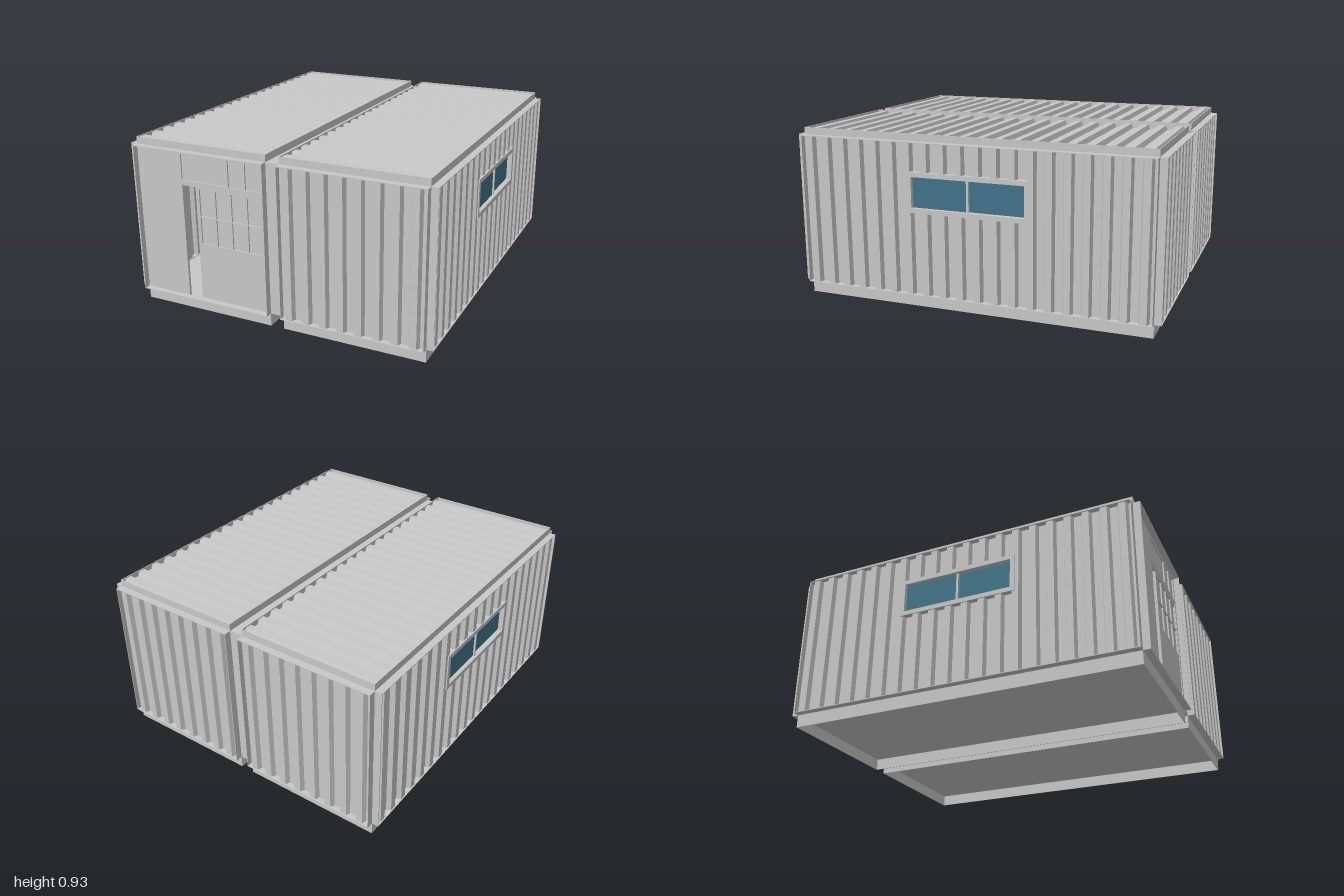
import * as THREE from 'three';

const D = 0.038;                 // depth of panel rims
const W = 0.779, L = 1.924;      // footprint of one unit
const CX = 0.4275;               // unit centre offset
const Y0 = 0.07, Y1 = 0.89;      // wall bottom and top
const T = 0.004;                 // sheet and rim thickness
const VALLEY = 0.008, RIDGE = 0.032, PITCH = 0.0962;

const steel = new THREE.MeshStandardMaterial({ color: 0xc8c8c8, side: THREE.DoubleSide });
steel.name = 'grey steel';
const glass = new THREE.MeshStandardMaterial({ color: 0x42738a });
glass.name = 'blue glass';

function box(name, x0, x1, y0, y1, z0, z1, mat = steel) {
  const m = new THREE.Mesh(new THREE.BoxGeometry(x1 - x0, y1 - y0, z1 - z0), mat);
  m.position.set((x0 + x1) / 2, (y0 + y1) / 2, (z0 + z1) / 2);
  m.name = name;
  return m;
}

// Trapezoid wave, measured from the start of the panel
function wave(s) {
  const p = ((s % PITCH) + PITCH) % PITCH;
  const rise = Math.min((p - 0.02) / 0.01, (PITCH - 0.02 - p) / 0.01);
  return VALLEY + (RIDGE - VALLEY) * Math.min(1, Math.max(0, rise));
}

// Corrugated sheet over u0..u1 and v0..v1, facing +z
function sheet(length, u0, u1, v0, v1) {
  const us = [u0];
  const start = -length / 2;
  for (let s = start; s < length / 2; s += PITCH) {
    for (const k of [0.02, 0.03, PITCH - 0.03, PITCH - 0.02]) {
      if (s + k > u0 + 1e-4 && s + k < u1 - 1e-4) us.push(s + k);
    }
  }
  us.push(u1);
  const outer = us.map(u => new THREE.Vector2(u, -wave(u - start)));
  const inner = us.map(u => new THREE.Vector2(u, T - wave(u - start))).reverse();
  const geo = new THREE.ExtrudeGeometry(new THREE.Shape([...outer, ...inner]),
    { depth: v1 - v0, bevelEnabled: false });
  geo.rotateX(-Math.PI / 2);
  geo.translate(0, v0, 0);
  const m = new THREE.Mesh(geo, steel);
  m.name = 'corrugatedSheet';
  return m;
}

// Thin rim around a rectangle, standing out from depth 0 to d
function rim(u0, u1, v0, v1, d) {
  const g = new THREE.Group();
  g.name = 'rim';
  g.add(box('rimBottom', u0, u1, v0, v0 + T, 0, d), box('rimTop', u0, u1, v1 - T, v1, 0, d),
    box('rimStart', u0, u0 + T, v0, v1, 0, d), box('rimEnd', u1 - T, u1, v0, v1, 0, d));
  return g;
}

// Rimmed sheet, optionally with a window cut into it
function panel(name, length, v0, v1, hasWindow = false) {
  const g = new THREE.Group();
  g.name = name;
  const h = length / 2;
  if (hasWindow) {
    const a = 0.335, b0 = 0.52, b1 = 0.735;
    g.add(sheet(length, -h, -a, v0, v1), sheet(length, a, h, v0, v1),
      sheet(length, -a, a, v0, b0), sheet(length, -a, a, b1, v1), windowUnit(a, b0, b1));
  } else {
    g.add(sheet(length, -h, h, v0, v1));
  }
  g.add(rim(-h, h, v0, v1, D));
  return g;
}

// Sliding window with two panes
function windowUnit(a, b0, b1) {
  const g = new THREE.Group();
  g.name = 'sideWindow';
  const f = 0.025;
  g.add(box('frameBottom', -a, a, b0, b0 + f, 0, D),
    box('frameTop', -a, a, b1 - f, b1, 0, D),
    box('frameLeft', -a, -a + f, b0 + f, b1 - f, 0, D),
    box('frameRight', a - f, a, b0 + f, b1 - f, 0, D),
    box('mullion', -0.006, 0.006, b0 + f, b1 - f, 0, 0.025),
    box('paneLeft', -a + f, -0.006, b0 + f, b1 - f, 0.008, 0.016, glass),
    box('paneRight', 0.006, a - f, b0 + f, b1 - f, 0.002, 0.01, glass));
  return g;
}

// Place a panel by its width, height and outward directions
function place(g, u, v, d, pos) {
  g.applyMatrix4(new THREE.Matrix4().makeBasis(
    new THREE.Vector3(...u), new THREE.Vector3(...v), new THREE.Vector3(...d)).setPosition(...pos));
  return g;
}

function rectPath(x0, x1, y0, y1) {
  return new THREE.Path([[x0, y0], [x0, y1], [x1, y1], [x1, y0]].map(p => new THREE.Vector2(...p)));
}

function plate(name, shape, z0, z1) {
  const geo = new THREE.ExtrudeGeometry(shape, { depth: z1 - z0, bevelEnabled: false });
  geo.translate(0, 0, z0);
  const m = new THREE.Mesh(geo, steel);
  m.name = name;
  return m;
}

// Flat entrance front inside a rim, with sliding door, glazing bars and transom
function entrance() {
  const g = new THREE.Group();
  g.name = 'entranceFront';
  const xl = -CX - W / 2, xr = -CX + W / 2;
  const wall = new THREE.Shape([[xl, Y0], [-0.54, Y0], [-0.54, 0.71], [-0.06, 0.71], [-0.06, Y0],
    [xr, Y0], [xr, Y1], [xl, Y1]].map(p => new THREE.Vector2(...p)));
  wall.holes.push(rectPath(-0.54, -0.06, 0.73, 0.87));
  g.add(plate('frontWall', wall, -0.008, 0.006), rim(xl, xr, Y0, Y1, D));

  const leaf = new THREE.Shape(rectPath(-0.46, -0.06, Y0, 0.71).getPoints());
  leaf.holes.push(rectPath(-0.44, -0.064, 0.39, 0.69));
  g.add(plate('doorLeaf', leaf, -0.012, 0.002));
  g.add(box('doorPane', -0.44, -0.064, 0.39, 0.69, -0.012, -0.006));
  g.add(box('transomPane', -0.54, -0.06, 0.73, 0.87, -0.008, -0.002));
  for (const x of [-0.345, -0.25, -0.155]) {
    g.add(box('doorGlazingBar', x - 0.003, x + 0.003, 0.39, 0.69, -0.006, 0.002));
  }
  g.add(box('doorCrossBar', -0.44, -0.064, 0.537, 0.543, -0.006, 0.002));
  for (const x of [-0.26, -0.16]) {
    g.add(box('transomBar', x - 0.003, x + 0.003, 0.73, 0.87, -0.002, 0.006));
  }
  g.add(box('doorwayHeader', -0.54, -0.46, 0.7, 0.71, -0.012, 0.002));
  g.position.z = L / 2;
  return g;
}

// One container unit; side is +1 or -1
function unit(side) {
  const g = new THREE.Group();
  g.name = side > 0 ? 'leftUnit' : 'rightUnit';
  const cx = side * CX, hw = W / 2, hl = L / 2, up = [0, 1, 0];
  // Floor deck over a hollow base rim
  g.add(box('floorDeck', cx - hw, cx + hw, Y0 - 0.006, Y0, -hl, hl));
  g.add(place(rim(-hl, hl, -hw, hw, Y0 - 0.006), [0, 0, 1], [1, 0, 0], up, [cx, 0, 0]));
  g.add(place(panel('roof', L, -hw, hw), [0, 0, 1], [1, 0, 0], up, [cx, Y1, 0]));
  g.add(place(panel('backWall', W, Y0, Y1), [-1, 0, 0], up, [0, 0, -1], [cx, 0, -hl]));
  g.add(place(panel('wallPlusX', L, Y0, Y1, side > 0), [0, 0, -1], up, [1, 0, 0], [cx + hw, 0, 0]));
  g.add(place(panel('wallMinusX', L, Y0, Y1, side < 0), [0, 0, 1], up, [-1, 0, 0], [cx - hw, 0, 0]));
  if (side > 0) g.add(place(panel('frontWall', W, Y0, Y1), [1, 0, 0], up, [0, 0, 1], [cx, 0, hl]));
  else g.add(entrance());
  return g;
}

export function createModel() {
  const model = new THREE.Group();
  model.name = 'twinContainerCabin';
  model.add(unit(1), unit(-1));
  return model;
}
